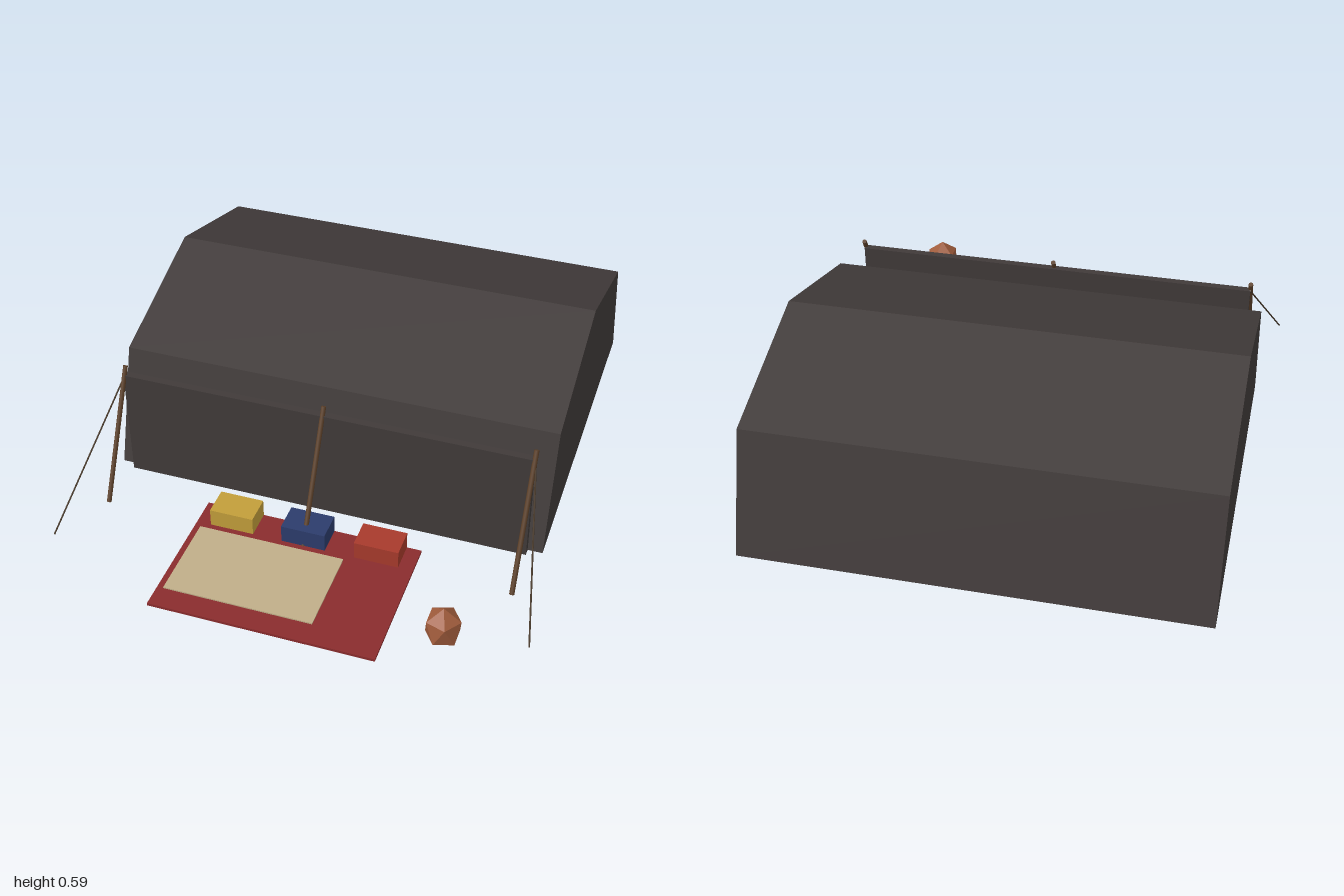
import * as THREE from 'three';

const paint = (name, color) => {
  const m = new THREE.MeshStandardMaterial({ color });
  m.name = name;
  return m;
};

export function createModel() {
  const tent = new THREE.Group();
  tent.name = 'tentCamp';
  const cloth = paint('darkCloth', 0x403a39);
  const wood = paint('wood', 0x5c4029);
  const rope = paint('rope', 0x4a3b2c);
  const rugRed = paint('rugRed', 0x8a2c2d);
  const straw = paint('straw', 0xc0ae88);
  const yellow = paint('yellow', 0xc29e3a);
  const blue = paint('blue', 0x2c3c6c);
  const red = paint('red', 0xa73a2c);
  const copper = paint('copper', 0xa05c3c);

  const add = (name, geometry, material) => {
    const mesh = new THREE.Mesh(geometry, material);
    mesh.name = name;
    tent.add(mesh);
    return mesh;
  };
  // Box given by its limits on each axis
  const box = (name, material, [x0, x1], [y0, y1], [z0, z1]) =>
    add(name, new THREE.BoxGeometry(x1 - x0, y1 - y0, z1 - z0), material)
      .position.set((x0 + x1) / 2, (y0 + y1) / 2, (z0 + z1) / 2);
  // Straight rod between two points
  const rod = (name, material, from, to, radius, sides) => {
    const a = new THREE.Vector3(...from), b = new THREE.Vector3(...to);
    const dir = b.clone().sub(a);
    const mesh = add(name, new THREE.CylinderGeometry(radius, radius, dir.length(), sides), material);
    mesh.position.copy(a).add(b).multiplyScalar(0.5);
    mesh.quaternion.setFromUnitVectors(new THREE.Vector3(0, 1, 0), dir.normalize());
  };

  // Tent body: five-sided section in (z, y), swept along x
  const section = new THREE.Shape(
    [[1, 0], [0.867, 0.43], [0.333, 0.59], [-0.2, 0.43], [-0.333, 0]]
      .map(([x, y]) => new THREE.Vector2(x, y)));
  const body = new THREE.ExtrudeGeometry(section, { depth: 1.6, bevelEnabled: false });
  body.translate(0, 0, -0.8).rotateY(Math.PI / 2);
  add('tentBody', body, cloth);

  // Hanging front curtain
  box('frontCurtain', cloth, [-0.747, 0.747], [0, 0.427], [0.333, 0.36]);

  // Leaning poles and guy ropes
  for (const x of [-0.747, 0, 0.747]) {
    rod('pole', wood, [x, 0.007, 0.57], [x, 0.455, 0.337], 0.009, 8);
  }
  for (const side of [-1, 1]) {
    rod('guyRope', rope, [side * 0.747, 0.427, 0.337], [side * 0.857, 0.003, 0.784], 0.003, 6);
  }

  // Rug, mat and cushions
  box('rug', rugRed, [-0.4, 0.4], [0.003, 0.013], [0.467, 1]);
  box('mat', straw, [-0.377, 0.157], [0.013, 0.018], [0.598, 0.918]);
  [['yellowCushion', yellow], ['blueCushion', blue], ['redCushion', red]].forEach(([name, material], i) => {
    const x = (i - 1) * 0.267;
    box(name, material, [x - 0.08, x + 0.08], [0.013, 0.08], [0.467, 0.573]);
  });

  // Faceted pot: icosahedron stood on one corner and stretched upward
  const pot = new THREE.IcosahedronGeometry(0.0667, 0);
  pot.rotateZ(Math.atan(2 / (1 + Math.sqrt(5)))).rotateY(Math.PI).scale(1, 1.2, 1);
  add('pot', pot, copper).position.set(0.587, 0.093, 0.865);

  return tent;
}
